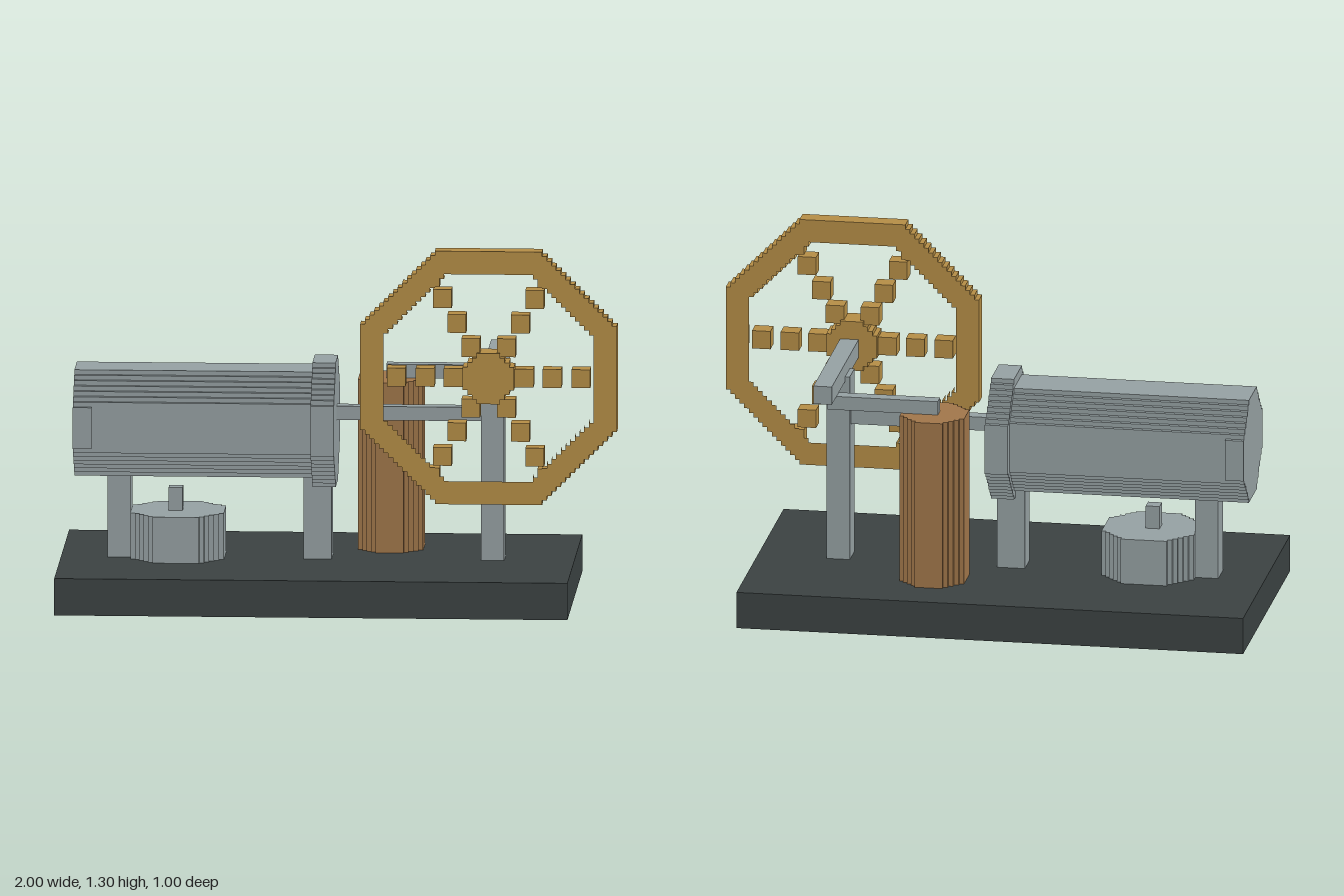
import * as THREE from 'three';

const U = 1 / 60; // one grid cell

const mat = (name, color) => {
  const m = new THREE.MeshStandardMaterial({ color });
  m.name = name;
  return m;
};

// Corner points of a stair-stepped octagon; pa and pb (0 or 0.5) set the cell grid's offset on each axis
function octagonPoints(r, pa, pb) {
  const reach = (a) => {
    const limit = Math.min(r, r * Math.SQRT2 - Math.abs(a));
    return Math.floor(limit - pb) + pb + 0.5;
  };
  const top = [];
  for (let a = -(Math.floor(r - pa) + pa); a <= r; a++) {
    const h = reach(a);
    const last = top[top.length - 1];
    if (last && last.y === h) last.x = a + 0.5;
    else top.push(new THREE.Vector2(a - 0.5, h), new THREE.Vector2(a + 0.5, h));
  }
  const bottom = top.map((p) => new THREE.Vector2(p.x, -p.y)).reverse();
  return top.concat(bottom);
}

// Stepped octagonal prism along an axis, with an optional octagonal opening
function prism(axis, r, pa, pb, length, hole) {
  const shape = new THREE.Shape(octagonPoints(r, pa, pb));
  if (hole) shape.holes.push(new THREE.Path(octagonPoints(hole, pa, pb)));
  const g = new THREE.ExtrudeGeometry(shape, { depth: length, bevelEnabled: false });
  g.translate(0, 0, -length / 2);
  if (axis === 'x') g.rotateY(Math.PI / 2);
  if (axis === 'y') g.rotateX(-Math.PI / 2);
  return g;
}

export function createModel() {
  const model = new THREE.Group();
  model.name = 'steamEngine';
  const dark = mat('darkBase', 0x3b4242);
  const steel = mat('steel', 0x95a0a2);
  const copper = mat('copper', 0xa0764a);
  const brass = mat('brass', 0xb48d46);

  const add = (name, geometry, material, x, y, z, parent = model) => {
    geometry.scale(U, U, U);
    const mesh = new THREE.Mesh(geometry, material);
    mesh.name = name;
    mesh.position.set(x * U, y * U, z * U);
    parent.add(mesh);
    return mesh;
  };
  // Box given by its limits in grid cells
  const box = (name, material, [x0, x1], [y0, y1], [z0, z1], parent) =>
    add(name, new THREE.BoxGeometry(x1 - x0, y1 - y0, z1 - z0), material,
      (x0 + x1) / 2, (y0 + y1) / 2, (z0 + z1) / 2, parent);

  box('base', dark, [-60, 50], [0, 8], [-30, 30]);

  // Boiler with its end flange, side plates and legs
  add('boiler', prism('x', 11, 0.5, 0, 56), steel, -29, 37.5, 0);
  add('boilerFlange', prism('x', 13, 0.5, 0, 5), steel, -3.5, 37.5, 0);
  for (const s of [-1, 1]) {
    box('sidePlate', steel, [-57, -53], [33, 42], s > 0 ? [10.5, 12] : [-12, -10.5]);
  }
  box('rearLeg', steel, [-50, -45], [8, 28], [-3, 3]);
  box('frontLeg', steel, [-8, -2], [8, 26], [-3, 3]);

  // Burner under the boiler
  add('burner', prism('y', 10, 0.5, 0.5, 10), steel, -35, 13, 0);
  box('burnerWick', steel, [-37, -34], [18, 23], [-1.5, 1.5]);

  // Upright cylinder
  add('cylinder', prism('y', 7, 0.5, 0, 37), copper, 10, 26.5, -12.5);

  // Post, axle and rods
  box('post', steel, [30, 35], [8, 49], [-3, 3]);
  box('axle', steel, [31, 35], [48, 52], [-20, 16]);
  box('crankRod', steel, [9, 33], [45, 48], [-14, -11]);
  box('steamPipe', steel, [-1, 31], [38, 41], [-1.5, 1.5]);

  // Flywheel: rim, hub and six spokes made of separate blocks
  const wheel = new THREE.Group();
  wheel.name = 'flywheel';
  model.add(wheel);
  add('rim', prism('z', 27, 0, 0, 4, 22), brass, 32.5, 50.5, 17, wheel);
  add('hub', prism('z', 5, 0, 0, 6), brass, 32.5, 50.5, 17, wheel);
  for (let i = 0; i < 6; i++) {
    const t = (i * Math.PI) / 3;
    for (const r of [7.6, 13.6, 19.8, 25]) {
      const x = 32.5 + r * Math.cos(t);
      const y = 50.5 + r * Math.sin(t);
      box('spokeBlock', brass, [x - 2, x + 2], [y - 2, y + 2], [15.02, 18.98], wheel);
    }
  }
  return model;
}
